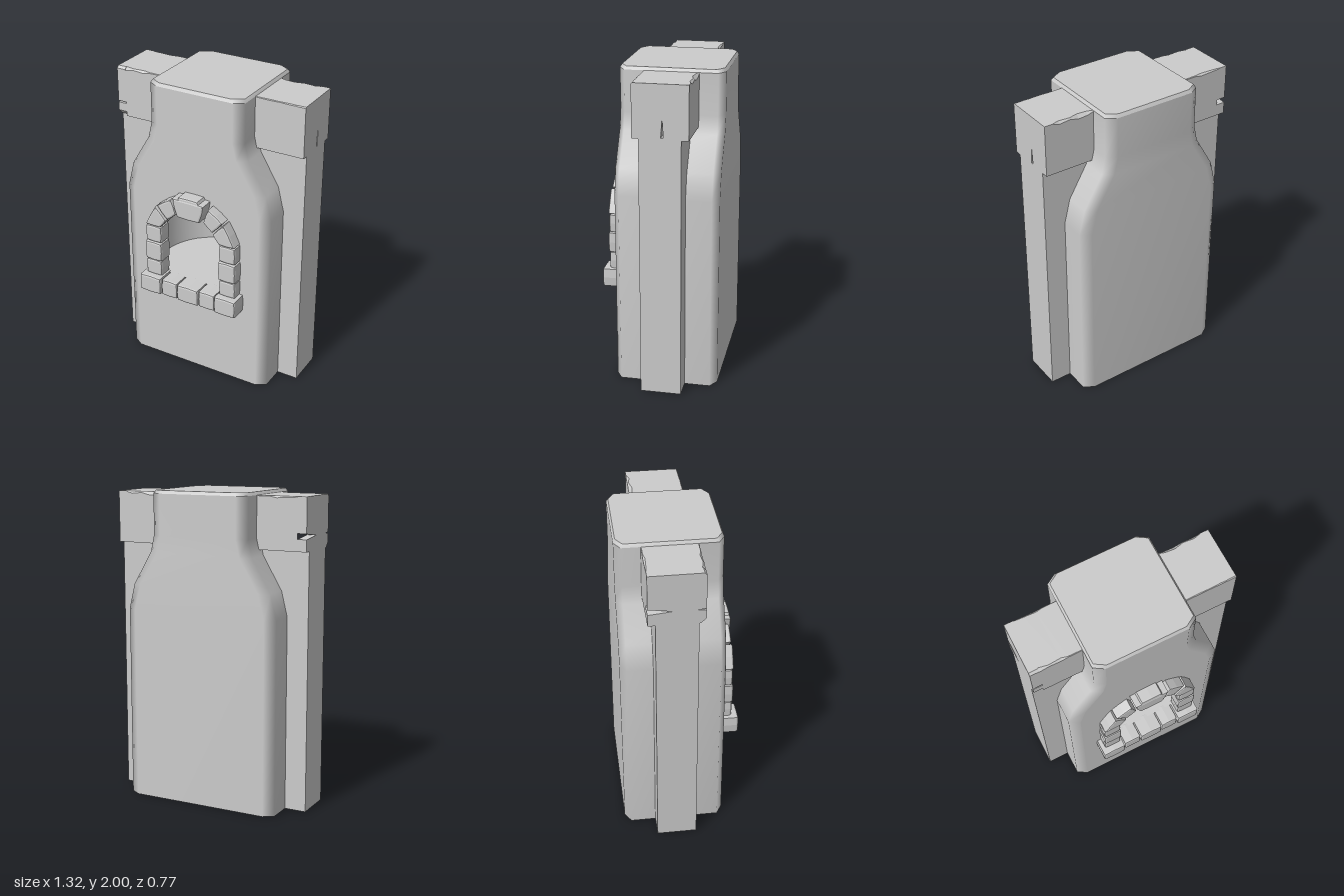
import * as THREE from 'three';

const smooth = new THREE.MeshStandardMaterial({ color: 0xcccccc });
const flat = new THREE.MeshStandardMaterial({ color: 0xcccccc, flatShading: true });
const thin = new THREE.MeshStandardMaterial({ color: 0xcccccc, side: THREE.DoubleSide });

function add(parent, name, geometry, material = flat) {
  const mesh = new THREE.Mesh(geometry, material);
  mesh.name = name;
  parent.add(mesh);
  return mesh;
}

const shapeOf = (pts) => new THREE.Shape(pts.map(([x, y]) => new THREE.Vector2(x, y)));

// Skin between rings of equal size, each running counter-clockwise about the loft axis.
// Normals use every side; the side given by skip is then left open.
function loft(rings, skip = -1) {
  const n = rings[0].length;
  const build = (omit) => {
    const index = [];
    for (let i = 0; i < rings.length - 1; i++) {
      for (let j = 0; j < n; j++) {
        if (j === omit) continue;
        const a = i * n + j, b = i * n + (j + 1) % n;
        index.push(a, b, b + n, a, b + n, a + n);
      }
    }
    return index;
  };
  const g = new THREE.BufferGeometry();
  g.setAttribute('position', new THREE.Float32BufferAttribute(rings.flat(2), 3));
  g.setIndex(build(-1));
  g.computeVertexNormals();
  g.setIndex(build(skip));
  return g;
}

// Horizontal face from a list of [x, z]
function level(pts, y, up = true) {
  const g = new THREE.ShapeGeometry(shapeOf(pts.map(([x, z]) => [x, up ? -z : z])));
  return g.rotateX(up ? -Math.PI / 2 : Math.PI / 2).translate(0, y, 0);
}

const FRONT = 0.27, BACK = -0.385, CX = 0.065, CZ = 0.04;

// Chamfered plan of the chimney body
function plan(w, inset = 0) {
  const f = FRONT - inset, b = BACK + inset;
  return [[w - CX, f], [w, f - CZ], [w, b + CZ], [w - CX, b],
    [CX - w, b], [-w, b + CZ], [-w, f - CZ], [CX - w, f]];
}

function makeBody(parent) {
  const body = new THREE.Group();
  body.name = 'body';
  parent.add(body);
  const profile = [[0.52, 0], [0.52, 1.24], [0.48, 1.4], [0.355, 1.61], [0.33, 1.72], [0.33, 1.98]];
  const ring = (w, y, inset) => plan(w, inset).map(([x, z]) => [x, y, z]);
  add(body, 'bodyShell', loft(profile.map(([w, y]) => ring(w, y)), 7), smooth);
  add(body, 'topBevel', loft([ring(0.33, 1.98), ring(0.318, 2, 0.012)]), smooth);
  add(body, 'topCap', level(plan(0.318, 0.012), 2), smooth);
  add(body, 'underside', level(plan(0.52), 0, false), smooth);

  // Front face with the arched opening
  const right = profile.map(([w, y]) => [w - CX, y]);
  const mirror = (pts) => pts.map(([x, y]) => [-x, y]).reverse();
  const front = shapeOf([...right, ...mirror(right)]);
  const arch = [[0.24, 0.64], [0.24, 1.05], [0.19, 1.15], [0.1, 1.21]];
  front.holes.push(shapeOf([...arch, ...mirror(arch)]));
  add(body, 'frontFace', new THREE.ShapeGeometry(front).translate(0, 0, FRONT), smooth);
}

// Round chamber behind the opening
function makeChamber(parent) {
  const chamber = new THREE.Group();
  chamber.name = 'ovenChamber';
  parent.add(chamber);
  const r = 0.37, cz = 0.05, y0 = 0.675, y1 = 1.25;
  const start = Math.acos((FRONT - cz) / r), sweep = 2 * Math.PI - 2 * start;
  const wall = new THREE.CylinderGeometry(r, r, y1 - y0, 32, 1, true, start, sweep);
  add(chamber, 'chamberWall', wall.translate(0, (y0 + y1) / 2, cz), thin);
  const outline = [];
  for (let i = 0; i <= 32; i++) {
    const t = start + sweep * i / 32;
    outline.push([r * Math.sin(t), cz + r * Math.cos(t)]);
  }
  add(chamber, 'chamberFloor', level(outline, y0), thin);
  add(chamber, 'chamberCeiling', level(outline, y1, false), thin);
}

// Wall slab, notched to leave room for the chamber
function makeWall(parent) {
  const s = shapeOf([[-0.66, 0], [-0.38, 0], [-0.38, 1.27], [0.38, 1.27], [0.38, 0],
    [0.66, 0], [0.66, 1.66], [-0.66, 1.66]]);
  const g = new THREE.ExtrudeGeometry(s, { depth: 0.255, bevelEnabled: false });
  add(parent, 'wall', g.translate(0, 0, -0.185));
}

// Weathered lintel beam with chipped top edges and split ends
function makeBeam(parent) {
  const beam = new THREE.Group();
  beam.name = 'beam';
  parent.add(beam);
  const y0 = 1.65, y1 = 1.98, zb = -0.23, zf = 0.11;
  // x, front chip, back chip
  const stations = [[-0.6, 0.02, 0.004], [-0.54, 0.008, 0.008], [-0.46, 0.014, 0.012], [-0.42, 0.004, 0.004],
    [-0.3, 0.003, 0.003], [0.33, 0.003, 0.006], [0.37, 0.004, 0.018], [0.43, 0.005, 0.022],
    [0.49, 0.003, 0.008], [0.56, 0.006, 0.015], [0.6, 0.004, 0.004]];
  add(beam, 'beamMiddle', loft(stations.map(([x, f, b]) => [
    [x, y1, zf - f], [x, y1 - f, zf], [x, y0, zf], [x, y0, zb], [x, y1 - b, zb], [x, y1, zb + b]])));
  // End outlines as [z, y]
  const ends = {
    beamLeftEnd: [0.6, [[zf, y0], [zf, y1 - 0.006], [zf - 0.006, y1], [zb, y1], [zb, y0],
      [-0.08, y0], [-0.072, 1.78], [-0.063, y0]]],
    beamRightEnd: [-0.66, [[zf - 0.03, y0], [zf, y0 + 0.03], [zf, 1.735], [zf - 0.05, 1.74], [zf, 1.745],
      [zf, y1 - 0.015], [zf - 0.015, y1], [zb, y1], [zb, 1.76], [-0.08, 1.74], [zb, 1.725], [zb, y0]]],
  };
  for (const [name, [x, pts]] of Object.entries(ends)) {
    const s = shapeOf(pts.map(([z, y]) => [-z, y]));
    const g = new THREE.ExtrudeGeometry(s, { depth: 0.06, bevelEnabled: false });
    add(beam, name, g.rotateY(Math.PI / 2).translate(x, 0, 0));
  }
}

// Worn stone: a slightly bulging four-sided outline with bevelled edges
function stone(parent, name, corners, z1, z0 = 0.24) {
  const b = 0.012;
  const cx = corners.reduce((s, p) => s + p[0], 0) / 4;
  const cy = corners.reduce((s, p) => s + p[1], 0) / 4;
  const pts = [];
  corners.forEach(([x, y], i) => {
    const [nx, ny] = corners[(i + 1) % 4];
    pts.push([cx + (x - cx) * 0.96, cy + (y - cy) * 0.96]);
    pts.push([cx + ((x + nx) / 2 - cx) * 1.02, cy + ((y + ny) / 2 - cy) * 1.02]);
  });
  const g = new THREE.ExtrudeGeometry(shapeOf(pts), {
    depth: z1 - z0 - 2 * b, bevelThickness: b, bevelSize: b, bevelOffset: -b, bevelSegments: 2 });
  add(parent, name, g.translate(0, 0, z0 + b));
}

function makeSurround(parent) {
  const surround = new THREE.Group();
  surround.name = 'stoneSurround';
  parent.add(surround);
  const rect = (x0, x1, y0, y1) => [[x0, y0], [x1, y0], [x1, y1], [x0, y1]];
  const sill = [-0.36, -0.2, -0.08, 0.08, 0.2, 0.355];
  const sillFront = [0.385, 0.375, 0.38, 0.375, 0.385];
  sillFront.forEach((z, i) => stone(surround, 'sillStone',
    rect(sill[i] + 0.002, sill[i + 1] - 0.002, 0.56, i % 4 ? 0.675 : 0.68), z));
  for (const side of [-1, 1]) {
    const place = (name, pts, z) => {
      const m = pts.map(([x, y]) => [x * side, y]);
      stone(surround, name, side < 0 ? m.reverse() : m, z);
    };
    place('jambStone', rect(0.215, 0.33, 0.678, 0.788), 0.342);
    place('jambStone', rect(0.21, 0.332, 0.79, 0.922), 0.348);
    place('jambStone', rect(0.213, 0.328, 0.926, 1.042), 0.342);
    place('archStone', [[0.215, 1.046], [0.328, 1.048], [0.25, 1.195], [0.17, 1.108]], 0.348);
    place('archStone', [[0.165, 1.113], [0.242, 1.2], [0.135, 1.272], [0.098, 1.17]], 0.342);
  }
  stone(surround, 'keystone', [[-0.083, 1.165], [0.083, 1.165], [0.118, 1.295], [-0.118, 1.295]], 0.358);
  stone(surround, 'keystoneCrown', [[-0.09, 1.25], [0.09, 1.25], [0.07, 1.312], [-0.07, 1.312]], 0.355);
}

export function createModel() {
  const model = new THREE.Group();
  model.name = 'chimneyWithOven';
  makeBody(model);
  makeChamber(model);
  makeWall(model);
  makeBeam(model);
  makeSurround(model);
  return model;
}
